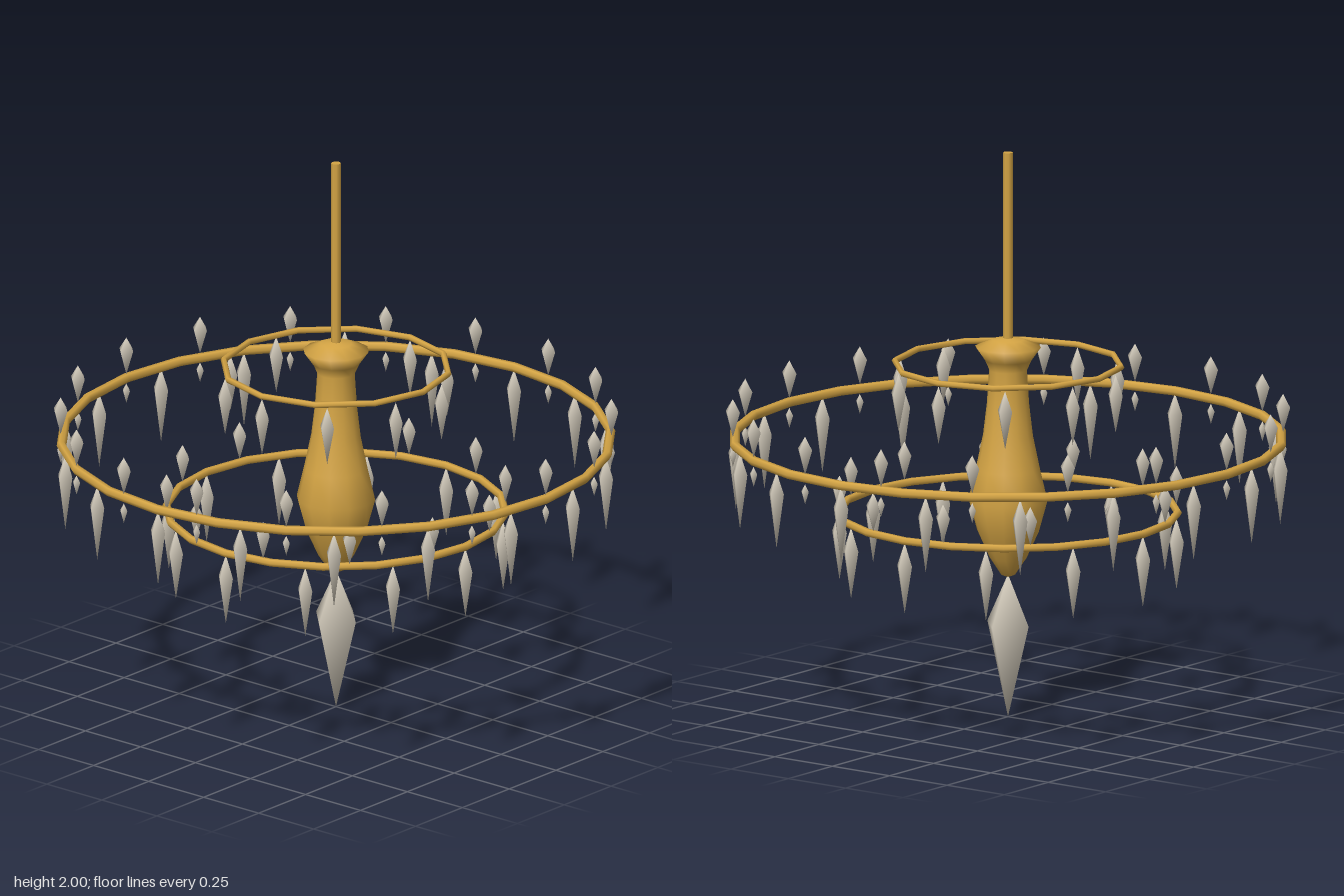
import * as THREE from 'three';

export function createModel() {
  const model = new THREE.Group();
  model.name = 'chandelier';
  const gold = new THREE.MeshStandardMaterial({ color: 0xd4a444 });
  gold.name = 'gold';
  const crystal = new THREE.MeshStandardMaterial({ color: 0xd8d0c0 });
  crystal.name = 'crystal';

  function add(name, geometry, material, x = 0, y = 0, z = 0) {
    const mesh = new THREE.Mesh(geometry, material);
    mesh.name = name;
    mesh.position.set(x, y, z);
    model.add(mesh);
    return mesh;
  }

  // Four-sided smooth crystal: tip, waist and bottom heights, waist radius
  function crystalGeometry(top, waist, bottom, r) {
    const geo = new THREE.BufferGeometry();
    geo.setAttribute('position', new THREE.Float32BufferAttribute([
      0, top, 0, 0, bottom, 0,
      r, waist, 0, 0, waist, r, -r, waist, 0, 0, waist, -r,
    ], 3));
    const index = [];
    for (let i = 0; i < 4; i++) {
      const a = 2 + i, b = 2 + (i + 1) % 4;
      index.push(0, b, a, 1, a, b);
    }
    geo.setIndex(index);
    geo.computeVertexNormals();
    return geo;
  }

  // Evenly spaced crystals around a ring; start is in degrees from +z
  function crystalRow(name, count, start, radius, top, waist, bottom, r) {
    const geo = crystalGeometry(top, waist, bottom, r);
    for (let i = 0; i < count; i++) {
      const a = THREE.MathUtils.degToRad(start + i * 360 / count);
      add(name, geo, crystal, radius * Math.sin(a), 0, radius * Math.cos(a));
    }
  }

  function ring(name, radius, tube, y, segments) {
    add(name, new THREE.TorusGeometry(radius, tube, 6, segments), gold, 0, y, 0).rotation.x = Math.PI / 2;
  }

  // Hanging rod
  add('rod', new THREE.CylinderGeometry(0.017, 0.017, 0.67, 8), gold, 0, 1.665, 0);

  // Turned central body
  const profile = [
    [0, 0.495], [0.025, 0.505], [0.065, 0.565], [0.108, 0.66], [0.138, 0.77], [0.112, 0.88],
    [0.087, 1.0], [0.074, 1.11], [0.066, 1.23], [0.082, 1.265], [0.115, 1.312], [0.055, 1.337], [0, 1.345],
  ].map(([r, y]) => new THREE.Vector2(r, y));
  add('body', new THREE.LatheGeometry(profile, 12), gold);

  // Three rings
  ring('topRing', 0.395, 0.011, 1.25, 12);
  ring('middleRing', 0.953, 0.017, 0.987, 24);
  ring('lowerRing', 0.588, 0.014, 0.726, 20);

  // Crystals on each ring
  crystalRow('topPendant', 10, 18, 0.395, 1.24, 1.17, 1.035, 0.031);
  crystalRow('middlePendant', 18, 10, 0.95, 0.98, 0.905, 0.71, 0.032);
  crystalRow('middleFinial', 18, 0, 0.953, 1.135, 1.09, 1.0, 0.031);
  crystalRow('middleBead', 18, 0, 0.953, 0.966, 0.94, 0.895, 0.016);
  crystalRow('lowerPendant', 12, 0, 0.588, 0.72, 0.638, 0.468, 0.032);
  crystalRow('lowerFinial', 12, 15, 0.588, 0.872, 0.825, 0.735, 0.03);

  // Large bottom drop
  add('bottomDrop', crystalGeometry(0.505, 0.33, 0, 0.09), crystal);

  return model;
}
